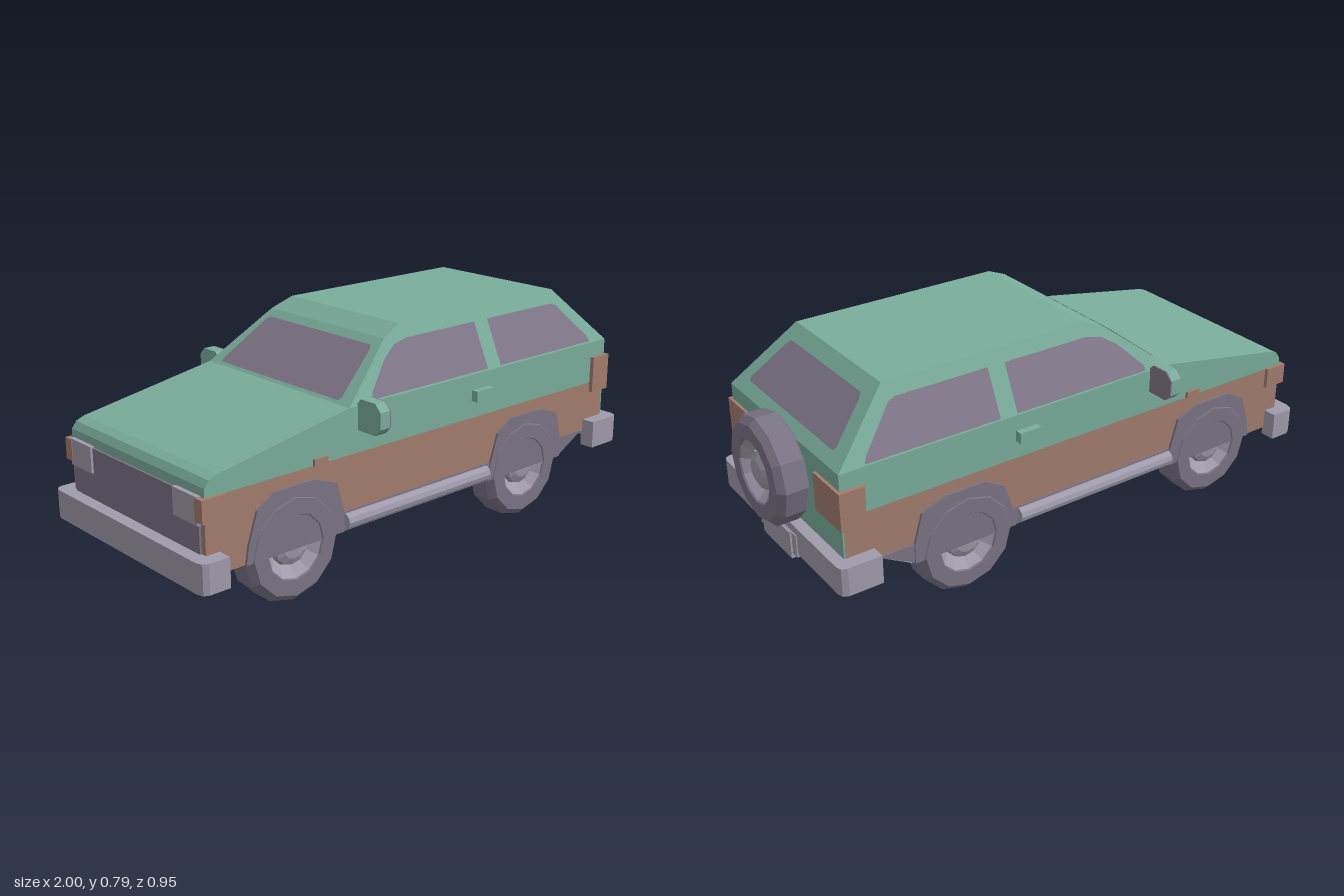
import * as THREE from 'three';
import { ConvexGeometry } from 'three/addons/geometries/ConvexGeometry.js';

const mat = (name, color, extra = {}) => {
  const m = new THREE.MeshStandardMaterial({ color, flatShading: true, ...extra });
  m.name = name;
  return m;
};

export function createModel() {
  const green = mat('green paint', 0x7aad9c);
  const brown = mat('brown trim', 0xa27d6e);
  const rubber = mat('dark rubber', 0x7b7385);
  const glass = mat('tinted glass', 0x82788a, { side: THREE.DoubleSide });
  const grey = mat('grey metal', 0xa09bab);

  const car = new THREE.Group();
  car.name = 'car';
  const add = (name, geo, material, parent = car) => {
    const m = new THREE.Mesh(geo, material);
    m.name = name;
    parent.add(m);
    return m;
  };
  const toShape = pts => new THREE.Shape(pts.map(p => new THREE.Vector2(...p)));
  // Box given by its min and max corners
  const box = (name, material, [x0, y0, z0], [x1, y1, z1]) => {
    const g = new THREE.BoxGeometry(x1 - x0, y1 - y0, z1 - z0);
    g.translate((x0 + x1) / 2, (y0 + y1) / 2, (z0 + z1) / 2);
    return add(name, g, material);
  };
  // Side profile extruded between two z positions
  const slab = (name, material, pts, z0, z1) => {
    const g = new THREE.ExtrudeGeometry(toShape(pts), { depth: z1 - z0, bevelEnabled: false });
    g.translate(0, 0, z0);
    return add(name, g, material);
  };
  // Copy a part to the other side of the car
  const mirror = m => {
    const c = m.clone();
    c.scale.z = -1;
    car.add(c);
  };

  // Body: lower half, bonnet and waist, then the tapered cabin
  const W = 0.37;
  slab('lowerBody', brown, [[-0.95, 0.18], [0.64, 0.18], [0.76, 0.25], [0.885, 0.25], [0.885, 0.43], [-0.95, 0.43]], -W, W);
  slab('upperBody', green, [[-0.95, 0.43], [0.89, 0.43], [0.89, 0.585], [-0.39, 0.585],
    [-0.9, 0.495], [-0.93, 0.483], [-0.947, 0.46]], -W, W);
  slab('tailPanel', green, [[0.65, 0.18], [0.765, 0.245], [0.89, 0.245], [0.89, 0.43], [0.884, 0.43],
    [0.884, 0.25], [0.76, 0.25]], -W, W);
  const sideZ = y => W - 0.095 * (y - 0.585) / 0.205;
  const cabin = [];
  for (const [x, y] of [[-0.39, 0.585], [-0.17, 0.755], [-0.09, 0.79], [0.68, 0.79], [0.89, 0.585]])
    for (const s of [-1, 1]) cabin.push(new THREE.Vector3(x, y, s * sideZ(y)));
  add('cabin', new ConvexGeometry(cabin), green);

  // Side windows, laid on the sloping cabin sides
  const sideWindow = (name, pts) => {
    const g = new THREE.ShapeGeometry(toShape(pts));
    const p = g.attributes.position;
    for (let i = 0; i < p.count; i++) p.setZ(i, sideZ(p.getY(i)) + 0.004);
    mirror(add(name, g, glass));
  };
  sideWindow('frontSideWindow', [[-0.29, 0.592], [0.245, 0.592], [0.245, 0.745], [-0.08, 0.745], [-0.14, 0.733], [-0.2, 0.695], [-0.285, 0.612]]);
  sideWindow('rearSideWindow', [[0.31, 0.592], [0.8, 0.592], [0.79, 0.612], [0.675, 0.735], [0.65, 0.745], [0.31, 0.745]]);

  // Windscreen and rear window, drawn in z and y and laid on their slopes
  const endWindow = (name, half, xAt) => {
    const pts = [...half, ...half.map(([z, y]) => [-z, y]).reverse()];
    const g = new THREE.ShapeGeometry(toShape(pts));
    const p = g.attributes.position;
    for (let i = 0; i < p.count; i++) p.setXYZ(i, xAt(p.getY(i)), p.getY(i), p.getX(i));
    add(name, g, glass);
  };
  endWindow('windscreen', [[0.305, 0.595], [0.313, 0.603], [0.272, 0.725], [0.26, 0.735]],
    y => -0.395 + 0.22 * (y - 0.585) / 0.17);
  endWindow('rearWindow', [[0.285, 0.62], [0.291, 0.63], [0.242, 0.738], [0.228, 0.752]],
    y => 0.895 - 0.21 * (y - 0.585) / 0.205);

  // Wheel arches and sill trim
  for (const x of [-0.62, 0.445])
    mirror(slab('wheelArch', rubber, [[-0.19, 0.18], [0.2, 0.18], [0.2, 0.25], [0.17, 0.355], [0.08, 0.388],
      [-0.07, 0.388], [-0.145, 0.345], [-0.18, 0.24]].map(([a, b]) => [a + x, b]), 0.36, 0.378));
  mirror(slab('sillTrim', rubber, [[-0.45, 0.18], [0.28, 0.18], [0.28, 0.245], [-0.45, 0.245]], 0.36, 0.374));
  mirror(slab('rearTrim', rubber, [[0.6, 0.18], [0.64, 0.18], [0.77, 0.25], [0.6, 0.25]], 0.36, 0.374));
  const bar = new THREE.CylinderGeometry(0.028, 0.028, 0.66, 10).rotateZ(Math.PI / 2);
  bar.translate(-0.085, 0.213, 0.372);
  mirror(add('sideStep', bar, grey));

  // Wheels: tyre, dished rim and domed hub turned about the axle
  const turn = pts => new THREE.LatheGeometry(pts.map(p => new THREE.Vector2(...p)), 12).rotateX(Math.PI / 2);
  const tyreGeo = turn([[0, -0.055], [0.165, -0.055], [0.185, -0.04], [0.185, 0.033], [0.163, 0.055], [0.11, 0.055], [0.104, 0.047]]);
  const rimGeo = turn([[0.106, 0.05], [0.07, 0.015], [0, 0.015]]);
  const hubGeo = turn([[0.07, 0.015], [0.064, 0.034], [0.04, 0.046], [0, 0.051]]);
  const wheel = (name, x, y, z, turnY) => {
    const g = new THREE.Group();
    g.name = name;
    g.position.set(x, y, z);
    g.rotation.y = turnY;
    add('tyre', tyreGeo, rubber, g);
    add('rim', rimGeo, grey, g);
    add('hub', hubGeo, grey, g);
    car.add(g);
  };
  for (const s of [1, -1]) {
    wheel('frontWheel', -0.62, 0.186, s * 0.326, s > 0 ? 0 : Math.PI);
    wheel('rearWheel', 0.445, 0.186, s * 0.326, s > 0 ? 0 : Math.PI);
  }
  wheel('spareWheel', 0.942, 0.455, 0, Math.PI / 2);

  // Bumpers: U-shaped plan with chamfered corners, extruded upwards
  const bumper = (name, half, y, h) => {
    const pts = [...half, ...half.map(([x, z]) => [x, -z]).reverse()];
    const g = new THREE.ExtrudeGeometry(toShape(pts), { depth: h, bevelEnabled: false }).rotateX(-Math.PI / 2);
    g.translate(0, y, 0);
    add(name, g, grey);
  };
  bumper('frontBumper', [[-0.94, 0.365], [-0.9, 0.365], [-0.9, 0.42], [-0.975, 0.42], [-0.993, 0.411], [-1, 0.39]], 0.152, 0.1);
  bumper('rearBumper', [[0.88, 0.365], [0.785, 0.365], [0.785, 0.42], [0.905, 0.42], [0.924, 0.411], [0.93, 0.39]], 0.19, 0.1);
  box('plateMount', grey, [0.9, 0.18, -0.13], [0.934, 0.262, 0.13]);
  box('plateHolder', grey, [0.9, 0.163, -0.1], [0.94, 0.26, 0.1]);

  // Front face
  box('grille', rubber, [-0.957, 0.25, -0.35], [-0.94, 0.43, 0.35]);
  mirror(box('headlight', grey, [-0.965, 0.345, 0.23], [-0.94, 0.435, 0.355]));
  mirror(box('frontIndicator', brown, [-0.967, 0.357, 0.345], [-0.88, 0.432, 0.383]));

  // Side and rear details
  mirror(box('sideMarker', brown, [-0.54, 0.43, 0.36], [-0.485, 0.453, 0.38]));
  mirror(box('tailLight', brown, [0.812, 0.395, 0.22], [0.9, 0.528, 0.385]));
  mirror(box('doorHandle', green, [0.168, 0.492, 0.36], [0.25, 0.53, 0.396]));

  // Door mirrors with a thin glass on the rear face
  const outline = [[0.36, 0.505], [0.45, 0.505], [0.475, 0.53], [0.475, 0.585], [0.45, 0.61], [0.385, 0.61], [0.36, 0.585]];
  const mirrorPart = (name, material, x0, x1) => {
    const g = new THREE.ExtrudeGeometry(toShape(outline.map(([z, y]) => [-z, y])), { depth: x1 - x0, bevelEnabled: false });
    g.rotateY(Math.PI / 2).translate(x0, 0, 0);
    mirror(add(name, g, material));
  };
  mirrorPart('doorMirror', green, -0.355, -0.316);
  mirrorPart('doorMirrorGlass', glass, -0.316, -0.311);

  return car;
}
